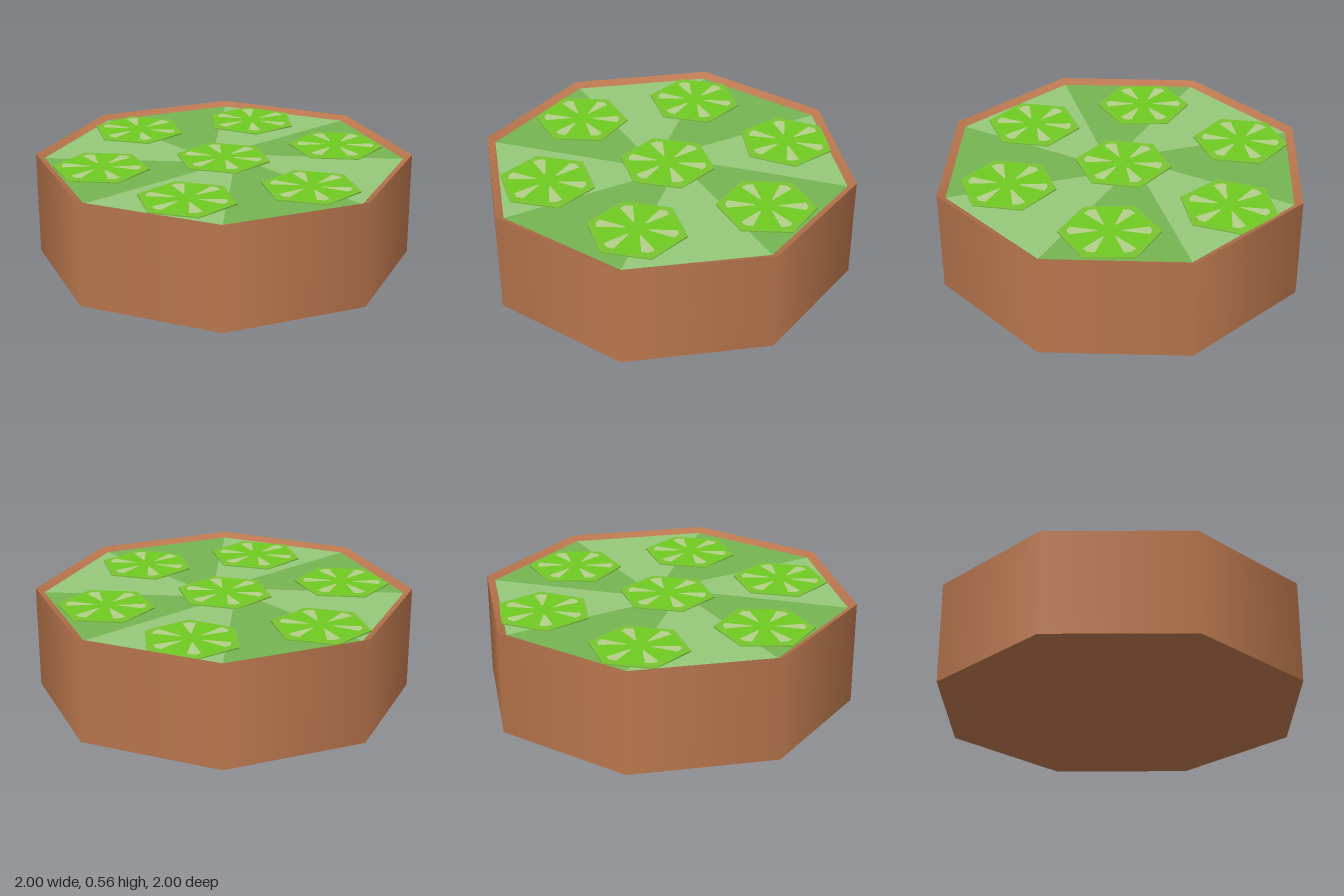
import * as THREE from 'three';
import { mergeGeometries } from 'three/addons/utils/BufferGeometryUtils.js';

const mat = (name, color) => {
  const m = new THREE.MeshStandardMaterial({ color });
  m.name = name;
  return m;
};
const polar = (r, a) => new THREE.Vector2(r * Math.cos(a), r * Math.sin(a));

// Flat shapes drawn as seen from above (shape y points to -z), laid at height y
function flat(outlines, y) {
  const parts = outlines.map((pts) => new THREE.ShapeGeometry(new THREE.Shape(pts)));
  return mergeGeometries(parts).rotateX(-Math.PI / 2).translate(0, y, 0);
}

export function createModel() {
  const crust = mat('crust brown', 0xb9764d);
  const paleFill = mat('pale green filling', 0x95c97a);
  const darkFill = mat('dark green filling', 0x76b452);
  const peel = mat('slice peel green', 0x78c432);
  const flesh = mat('slice flesh green', 0x6fcb20);
  const pith = mat('slice pith', 0xb2d088);

  const model = new THREE.Group();
  const add = (parent, name, geometry, material) => {
    const mesh = new THREE.Mesh(geometry, material);
    mesh.name = name;
    parent.add(mesh);
    return mesh;
  };

  const H = 0.555, FILL = 0.533, INNER = 0.955;

  // Eight-sided crust: smooth wall, inward sloping rim and base
  add(model, 'crustWall', new THREE.CylinderGeometry(1, 1, H, 8, 1, true).translate(0, H / 2, 0), crust);
  const rim = [new THREE.Vector2(1, H), new THREE.Vector2(INNER, FILL)];
  add(model, 'crustRim', new THREE.LatheGeometry(rim, 8), crust);
  add(model, 'crustBase', new THREE.CircleGeometry(1, 8).rotateX(Math.PI / 2), crust);

  // Filling: alternating sectors that twist a little towards the middle
  const sectors = [[], []];
  const twist = Math.PI / 12;
  for (let k = 0; k < 8; k++) {
    const a = (k * Math.PI) / 4, b = a + Math.PI / 4;
    sectors[k % 2].push([
      new THREE.Vector2(0, 0), polar(0.2, a + twist), polar(INNER, a),
      polar(INNER, b), polar(0.2, b + twist),
    ]);
  }
  add(model, 'paleFilling', flat(sectors[0], FILL), paleFill);
  add(model, 'darkFilling', flat(sectors[1], FILL), darkFill);

  // Hexagonal slices: peel plate, flesh disc and six pith wedges
  const R = 0.256;
  const peelGeo = new THREE.CylinderGeometry(R, R, 0.009, 6).translate(0, 0.0015, 0);
  const fleshGeo = new THREE.CircleGeometry(0.215, 12).rotateX(-Math.PI / 2).translate(0, 0.008, 0);
  const wedges = [];
  for (let k = 0; k < 6; k++) {
    const a = Math.PI / 2 + (k * Math.PI) / 3;
    wedges.push([polar(0.06, a - 0.06), polar(0.2, a - 0.17), polar(0.21, a), polar(0.2, a + 0.17), polar(0.06, a + 0.06)]);
  }
  const pithGeo = flat(wedges, 0.01);

  // x, z and turn in degrees
  const slices = [
    [-0.005, 0, 0], [-0.685, 0, 0], [0.625, 0.005, 0],
    [-0.36, -0.577, -10], [0.28, -0.58, 10],
    [-0.338, 0.565, 10], [0.312, 0.563, 0],
  ];
  for (const [x, z, turn] of slices) {
    const slice = new THREE.Group();
    slice.name = 'slice';
    add(slice, 'slicePeel', peelGeo, peel);
    add(slice, 'sliceFlesh', fleshGeo, flesh);
    add(slice, 'slicePith', pithGeo, pith);
    slice.position.set(x, FILL, z);
    slice.rotation.y = THREE.MathUtils.degToRad(turn);
    model.add(slice);
  }
  return model;
}
